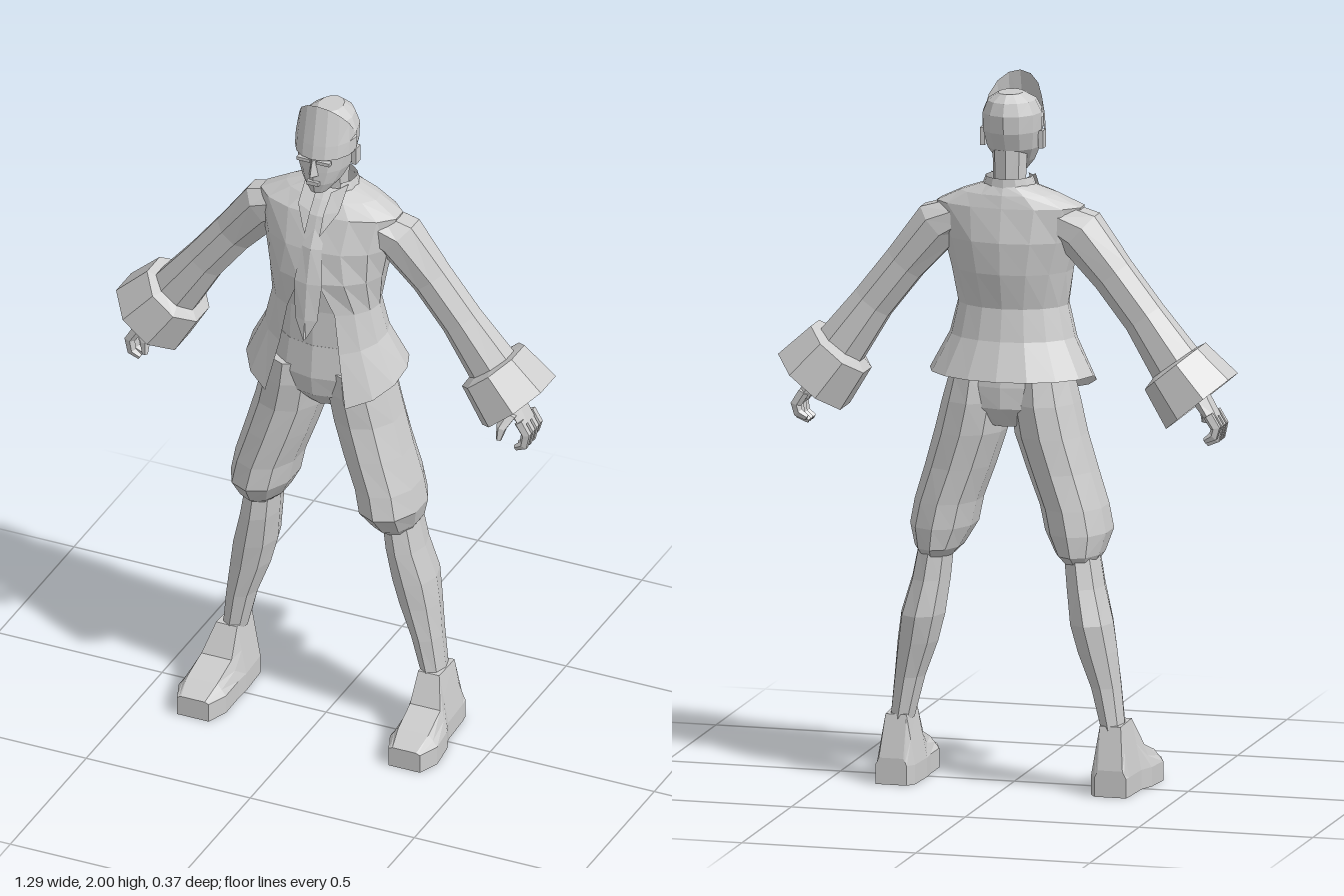
import * as THREE from 'three';

const cloth = new THREE.MeshStandardMaterial({ color: 0xcccccc, flatShading: true, side: THREE.DoubleSide });
cloth.name = 'plain grey';
const RAD = Math.PI / 180;
const V = (x, y, z) => new THREE.Vector3(x, y, z);

// Skin rows of points; closed wraps each row around, caps fill the end rows
function loft(name, rows, { closed = true, caps = true } = {}) {
  const n = rows[0].length, pos = [], idx = [];
  const add = (p) => pos.push(p.x, p.y, p.z);
  rows.forEach((row) => row.forEach(add));
  for (let r = 0; r < rows.length - 1; r++) {
    for (let i = 0; i < (closed ? n : n - 1); i++) {
      const a = r * n + i, b = r * n + (i + 1) % n;
      idx.push(a, b, b + n, a, b + n, a + n);
    }
  }
  if (closed && caps) {
    [0, rows.length - 1].forEach((r) => {
      const c = pos.length / 3;
      const mid = rows[r].reduce((s, p) => s.add(p), V(0, 0, 0)).divideScalar(n);
      add(mid);
      for (let i = 0; i < n; i++) {
        const a = r * n + i, b = r * n + (i + 1) % n;
        if (r) idx.push(a, b, c); else idx.push(b, a, c);
      }
    });
  }
  const g = new THREE.BufferGeometry();
  g.setAttribute('position', new THREE.Float32BufferAttribute(pos, 3));
  g.setIndex(idx);
  g.computeVertexNormals();
  const mesh = new THREE.Mesh(g, cloth);
  mesh.name = name;
  return mesh;
}

// Level rings: [y, centre x, half width, front z, back z]
function stack(name, list, n, opts) {
  return loft(name, list.map(([y, cx, w, zf, zb]) => Array.from({ length: n }, (_, i) => {
    const a = (i / n) * Math.PI * 2;
    return V(cx + w * Math.sin(a), y, (zf + zb) / 2 + (zf - zb) / 2 * Math.cos(a));
  })), opts);
}

// Rings across a bent path: [x, y, z, radius across, radius in z]
function limb(name, path, n, opts) {
  return loft(name, path.map(([x, y, z, r, rz], k) => {
    const p = path[Math.max(0, k - 1)], q = path[Math.min(path.length - 1, k + 1)];
    const d = Math.hypot(q[0] - p[0], q[1] - p[1]) || 1;
    const ux = -(q[1] - p[1]) / d, uy = (q[0] - p[0]) / d;
    return Array.from({ length: n }, (_, i) => {
      const a = ((i + 0.5) / n) * Math.PI * 2, c = Math.cos(a) * r / Math.cos(Math.PI / n);
      return V(x + ux * c, y + uy * c, z + Math.sin(a) * rz);
    });
  }), opts);
}

// Open band around the body: [y, half width, front z, back z, opening angle, front dip]
function wrap(name, list, n) {
  return loft(name, list.map(([y, w, zf, zb, open, dip = 0]) => Array.from({ length: n + 1 }, (_, i) => {
    const a = (open + (360 - 2 * open) * i / n) * RAD, c = Math.cos(a);
    return V(w * Math.sin(a), y - dip * Math.max(0, c), (zf + zb) / 2 + (zf - zb) / 2 * c);
  })), { closed: false });
}

function buildHead() {
  const head = new THREE.Group();
  head.name = 'head';
  head.add(stack('neck', [
    [1.62, 0, 0.06, 0.01, -0.1], [1.7, 0, 0.047, -0.01, -0.09], [1.8, 0, 0.05, 0.0, -0.09],
  ], 8));
  head.add(stack('skull', [
    [1.728, 0, 0.026, 0.076, 0.01], [1.76, 0, 0.054, 0.085, -0.05], [1.8, 0, 0.074, 0.086, -0.09],
    [1.85, 0, 0.083, 0.086, -0.112], [1.9, 0, 0.084, 0.08, -0.116],
    [1.935, 0, 0.068, 0.055, -0.105], [1.957, 0, 0.035, 0.01, -0.08],
  ], 12));
  // Nose, lips and brow
  head.add(loft('nose', [
    [V(-0.007, 1.84, 0.082), V(0, 1.84, 0.092), V(0.007, 1.84, 0.082)],
    [V(-0.015, 1.79, 0.08), V(0, 1.793, 0.108), V(0.015, 1.79, 0.08)],
  ]));
  const box = (name, w, h, d, x, y, z) => {
    const m = new THREE.Mesh(new THREE.BoxGeometry(w, h, d), cloth);
    m.name = name;
    m.position.set(x, y, z);
    head.add(m);
  };
  box('lips', 0.036, 0.012, 0.016, 0, 1.766, 0.083);
  [-1, 1].forEach((s) => {
    box('brow', 0.04, 0.01, 0.016, s * 0.03, 1.835, 0.08);
    box('ear', 0.014, 0.05, 0.03, s * 0.084, 1.825, -0.015);
  });
  // Pointed band standing up over the forehead
  const arc = Array.from({ length: 9 }, (_, i) => (i / 8 - 0.5) * Math.PI);
  head.add(loft('peakedBand', [
    arc.map((a) => V(0.088 * Math.sin(a), 1.845, -0.01 + 0.103 * Math.cos(a))),
    arc.map((a) => V(0.088 * Math.sin(a), 1.885, -0.015 + 0.1 * Math.cos(a))),
    arc.map((a) => V(0.083 * Math.sin(a), 1.89 + 0.11 * Math.max(0, Math.cos(a)) ** 0.9, -0.02 + 0.08 * Math.cos(a))),
  ], { closed: false }));
  return head;
}

function buildTorso() {
  const torso = new THREE.Group();
  torso.name = 'torso';
  torso.add(wrap('jacket', [
    [1.705, 0.07, 0.0, -0.115, 0], [1.68, 0.14, 0.03, -0.128, 0], [1.645, 0.212, 0.062, -0.137, 0],
    [1.55, 0.193, 0.1, -0.155, 0], [1.46, 0.172, 0.118, -0.15, 10], [1.36, 0.158, 0.113, -0.128, 27],
    [1.27, 0.18, 0.13, -0.145, 30, 0.03], [1.165, 0.236, 0.165, -0.19, 31, 0.085],
  ], 14));
  torso.add(stack('vest', [
    [1.55, 0, 0.16, 0.085, -0.13], [1.45, 0, 0.155, 0.1, -0.135], [1.35, 0, 0.145, 0.088, -0.115],
    [1.2, 0, 0.155, 0.09, -0.13],
  ], 12));
  torso.add(stack('hips', [
    [1.24, 0, 0.155, 0.09, -0.13], [1.14, 0, 0.172, 0.1, -0.145],
    [1.08, 0, 0.15, 0.09, -0.145], [1.025, 0, 0.06, 0.04, -0.11],
  ], 12));
  // Cravat with a raised middle fold
  torso.add(loft('cravat', [
    [1.7, 0.02, -0.005], [1.65, 0.028, 0.05], [1.56, 0.03, 0.1], [1.46, 0.042, 0.125],
    [1.35, 0.034, 0.138], [1.29, 0.003, 0.147],
  ].map(([y, w, z]) => [V(-w, y, z - 0.006), V(0, y, z + 0.004), V(w, y, z - 0.006)]), { closed: false }));
  // Standing collar and its two pointed flaps
  torso.add(wrap('collar', [
    [1.66, 0.09, 0.03, -0.122, 35], [1.725, 0.066, 0.01, -0.115, 40],
  ], 10));
  [-1, 1].forEach((s) => torso.add(loft('collarFlap', [
    [V(s * 0.022, 1.7, 0.015), V(s * 0.064, 1.725, -0.01)],
    [V(s * 0.02, 1.655, 0.062), V(s * 0.062, 1.665, 0.05)],
    [V(s * 0.022, 1.6, 0.094), V(s * 0.032, 1.615, 0.086)],
  ], { closed: false })));
  return torso;
}

function buildArm() {
  const arm = new THREE.Group();
  arm.name = 'arm';
  arm.add(limb('sleeve', [
    [0.14, 1.605, -0.04, 0.05, 0.07], [0.205, 1.575, -0.045, 0.068, 0.07], [0.3, 1.46, -0.05, 0.058, 0.056],
    [0.39, 1.345, -0.052, 0.058, 0.056], [0.49, 1.205, -0.058, 0.072, 0.068],
  ], 8));
  // Flared turned-back cuff, open at the hand
  arm.add(limb('cuff', [
    [0.474, 1.222, -0.06, 0.06, 0.06], [0.48, 1.214, -0.063, 0.098, 0.11], [0.558, 1.12, -0.065, 0.116, 0.13],
  ], 8, { caps: false }));
  arm.add(limb('palm', [
    [0.5, 1.19, -0.055, 0.03, 0.035], [0.555, 1.12, -0.05, 0.022, 0.04], [0.588, 1.07, -0.05, 0.016, 0.046],
  ], 6));
  for (let i = 0; i < 4; i++) {
    const z = -0.087 + 0.025 * i, drop = i === 0 ? 0.012 : 0;
    arm.add(limb('finger', [
      [0.582, 1.085, z, 0.013, 0.013], [0.604, 1.05, z, 0.013, 0.013],
      [0.597, 1.014 + drop, z, 0.012, 0.012], [0.572, 1.0 + drop, z, 0.007, 0.008],
    ], 5));
  }
  arm.add(limb('thumb', [
    [0.56, 1.11, -0.01, 0.016, 0.016], [0.543, 1.075, 0.018, 0.013, 0.013], [0.539, 1.04, 0.028, 0.007, 0.008],
  ], 5));
  return arm;
}

function buildLeg() {
  const leg = new THREE.Group();
  leg.name = 'leg';
  leg.add(stack('breeches', [
    [1.16, 0.09, 0.084, 0.095, -0.14], [1.09, 0.097, 0.096, 0.098, -0.15], [1.0, 0.115, 0.1, 0.093, -0.152],
    [0.9, 0.146, 0.097, 0.1, -0.15], [0.8, 0.18, 0.093, 0.106, -0.153], [0.73, 0.194, 0.092, 0.112, -0.157],
    [0.67, 0.202, 0.066, 0.065, -0.15], [0.645, 0.206, 0.045, 0.03, -0.125],
  ], 10));
  leg.add(stack('stocking', [
    [0.68, 0.208, 0.05, 0.03, -0.13], [0.58, 0.222, 0.055, 0.028, -0.14], [0.48, 0.242, 0.063, 0.018, -0.157],
    [0.4, 0.258, 0.058, 0.008, -0.143], [0.3, 0.282, 0.044, 0.0, -0.125], [0.18, 0.303, 0.034, -0.01, -0.118],
  ], 8));
  // Shoe sections from heel to toe: z, centre, half width, top half width, top height
  leg.add(loft('shoe', [
    [-0.14, 0.315, 0.045, 0.035, 0.075], [-0.115, 0.308, 0.055, 0.03, 0.195], [-0.01, 0.308, 0.06, 0.032, 0.2],
    [0.035, 0.318, 0.067, 0.046, 0.118], [0.12, 0.322, 0.072, 0.046, 0.088], [0.182, 0.322, 0.048, 0.036, 0.06],
  ].map(([z, c, w, t, h]) => [
    V(c - w, 0, z), V(c - w, 0.055, z), V(c - (w + t) / 2, (0.055 + h) / 2, z), V(c - t, h, z),
    V(c + t, h, z), V(c + (w + t) / 2, (0.055 + h) / 2, z), V(c + w, 0.055, z), V(c + w, 0, z),
  ])));
  return leg;
}

export function createModel() {
  const model = new THREE.Group();
  model.name = 'standingFigure';
  model.add(buildHead(), buildTorso());
  [['left', 1], ['right', -1]].forEach(([side, s]) => {
    const limbs = new THREE.Group();
    limbs.name = side + 'Limbs';
    limbs.add(buildArm(), buildLeg());
    limbs.scale.x = s;
    model.add(limbs);
  });
  return model;
}
